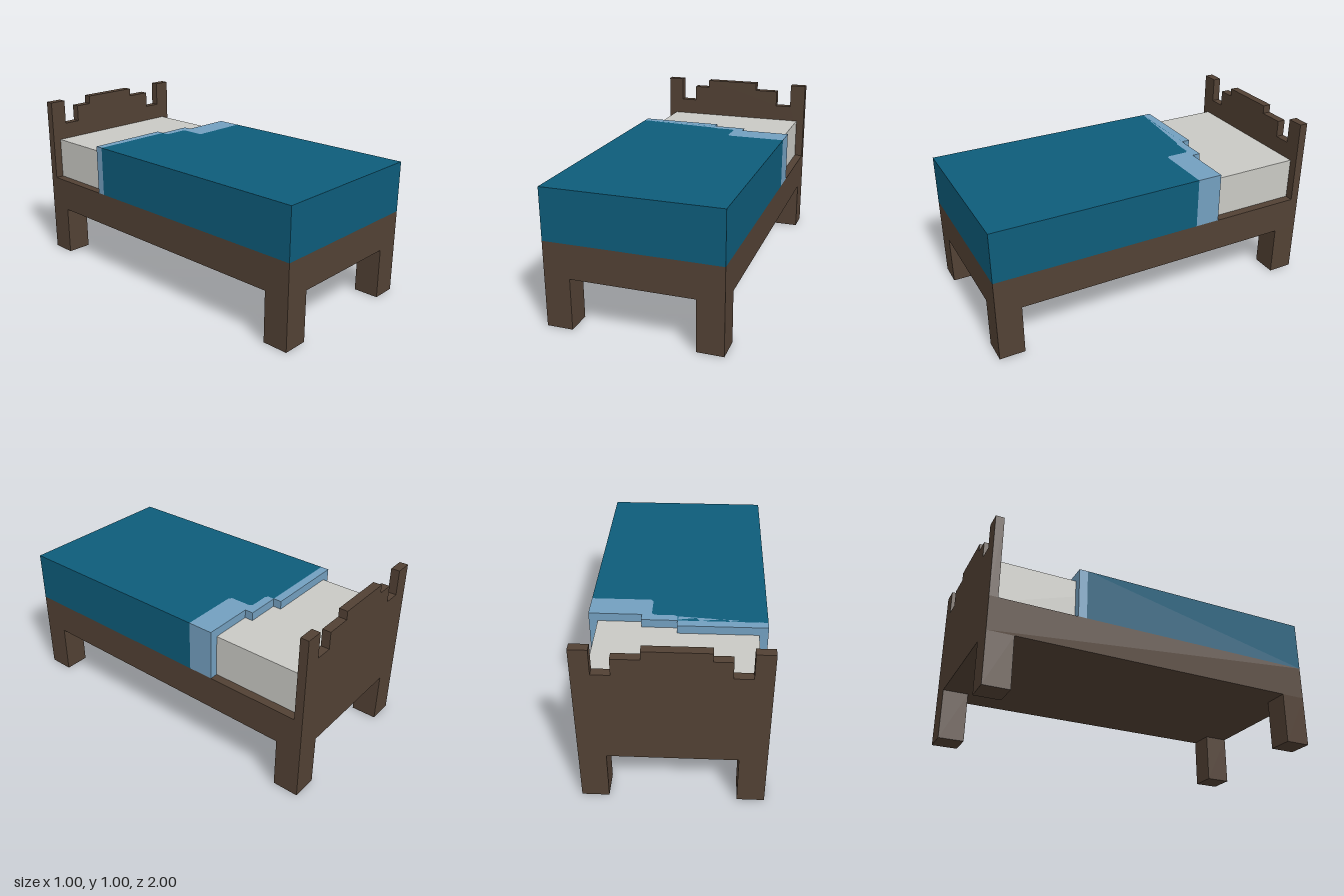
import * as THREE from 'three';

const material = (name, color) => {
  const m = new THREE.MeshStandardMaterial({ color });
  m.name = name;
  return m;
};

// Box given by its min and max corners
function box(name, mat, [x0, y0, z0], [x1, y1, z1]) {
  const mesh = new THREE.Mesh(new THREE.BoxGeometry(x1 - x0, y1 - y0, z1 - z0), mat);
  mesh.position.set((x0 + x1) / 2, (y0 + y1) / 2, (z0 + z1) / 2);
  mesh.name = name;
  return mesh;
}

function extrude(name, mat, points, depth) {
  const shape = new THREE.Shape(points.map(([a, b]) => new THREE.Vector2(a, b)));
  const mesh = new THREE.Mesh(new THREE.ExtrudeGeometry(shape, { depth, bevelEnabled: false }), mat);
  mesh.name = name;
  return mesh;
}

// Outline given as [x, z], raised along y from the bed frame
function layer(name, mat, outline, height) {
  const mesh = extrude(name, mat, outline.map(([x, z]) => [x, -z]), height);
  mesh.geometry.rotateX(-Math.PI / 2);
  mesh.position.y = 0.5;
  return mesh;
}

export function createModel() {
  const wood = material('brown wood', 0x524134);
  const sheet = material('grey sheet', 0xc9c9c4);
  const teal = material('teal blanket', 0x0d5c7a);
  const lightBlue = material('light blue fold', 0x739fbf);

  const bed = new THREE.Group();
  bed.name = 'bed';

  // Frame and legs
  bed.add(box('frame', wood, [-0.5, 0.3, -1], [0.5, 0.5, 1]));
  for (const [side, x] of [['Right', -0.5], ['Left', 0.35]]) {
    for (const [end, z] of [['front', 0.85], ['back', -1]]) {
      bed.add(box(`${end}${side}Leg`, wood, [x, 0, z], [x + 0.15, 0.3, z + 0.15]));
    }
  }

  // Headboard with a stepped crest between two posts
  const headboard = extrude('headboard', wood, [
    [-0.5, 0.5], [0.5, 0.5], [0.5, 1], [0.4, 1], [0.4, 0.85], [0.3, 0.85],
    [0.3, 0.95], [0.15, 0.95], [0.15, 1], [-0.2, 1], [-0.2, 0.95], [-0.3, 0.95],
    [-0.3, 0.85], [-0.4, 0.85], [-0.4, 1], [-0.5, 1],
  ], 0.05);
  headboard.position.z = -1;
  bed.add(headboard);

  // Mattress, tucked under the blanket
  bed.add(box('mattress', sheet, [-0.45, 0.5, -0.95], [0.45, 0.75, -0.2]));

  // Blanket and its turned-back fold share this ragged border
  const border = [
    [-0.5, -0.45], [0, -0.45], [0, -0.41], [0.02, -0.4], [0.13, -0.4],
    [0.145, -0.385], [0.145, -0.265], [0.16, -0.25], [0.5, -0.25],
  ];
  bed.add(layer('blanket', teal, [...border, [0.5, 1], [-0.5, 1]], 0.3));
  bed.add(layer('blanketFold', lightBlue, [
    ...border, [0.5, -0.4], [0.2, -0.4], [0.2, -0.45], [0, -0.45], [0, -0.5], [-0.5, -0.5],
  ].filter(([x, z], i) => !(i === 1 && x === 0 && z === -0.45)).map((p) => p), 0.3));

  return bed;
}
